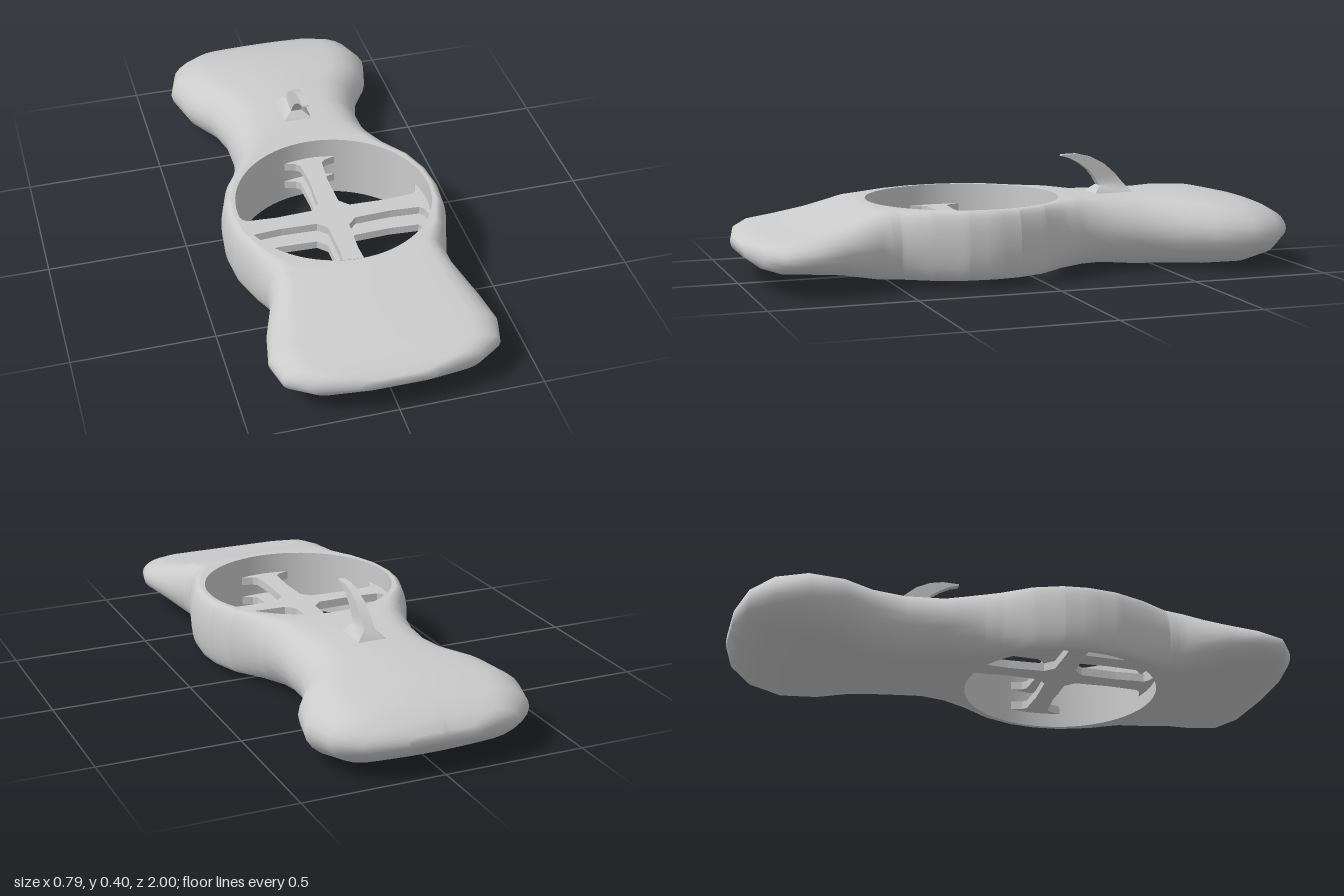
import * as THREE from 'three';
import { mergeVertices, toCreasedNormals } from 'three/addons/utils/BufferGeometryUtils.js';

const HOLE_Z = 0.19, HOLE_R = 0.345;

// Body stations: z, half width, top, bottom, edge rounding, crown
const STATIONS = [
  [-1, 0.13, 0.15, 0.11, 0.04, 0],
  [-0.965, 0.28, 0.185, 0.075, 0.1, 0.01],
  [-0.89, 0.36, 0.225, 0.03, 0.13, 0.02],
  [-0.78, 0.393, 0.25, 0.003, 0.14, 0.03],
  [-0.65, 0.36, 0.258, 0, 0.13, 0.03],
  [-0.54, 0.29, 0.26, 0, 0.12, 0.03],
  [-0.42, 0.257, 0.26, 0.003, 0.11, 0.025],
  [-0.28, 0.257, 0.258, 0.022, 0.1, 0.01],
  [-0.19, 0.27, 0.265, 0.027, 0.09, 0],
  [-0.1, 0.305, 0.265, 0.027, 0.07, 0],
  [0, 0.355, 0.265, 0.027, 0.04, 0],
  [0.1, 0.387, 0.265, 0.027, 0.035, 0],
  [0.19, 0.397, 0.265, 0.027, 0.035, 0],
  [0.29, 0.387, 0.265, 0.027, 0.035, 0],
  [0.4, 0.352, 0.265, 0.027, 0.04, 0],
  [0.5, 0.32, 0.265, 0.027, 0.07, 0],
  [0.57, 0.325, 0.262, 0.028, 0.08, 0.005],
  [0.7, 0.37, 0.225, 0.052, 0.1, 0.01],
  [0.82, 0.393, 0.195, 0.07, 0.1, 0.005],
  [0.91, 0.37, 0.182, 0.076, 0.1, 0],
  [0.965, 0.29, 0.168, 0.088, 0.08, 0],
  [1, 0.13, 0.15, 0.11, 0.04, 0],
];

function stationAt(z) {
  let i = 0;
  while (i < STATIONS.length - 2 && STATIONS[i + 1][0] < z) i++;
  const a = STATIONS[i], b = STATIONS[i + 1];
  const t = (z - a[0]) / (b[0] - a[0]);
  return a.map((v, k) => THREE.MathUtils.lerp(v, b[k], t));
}

// Half of a cross-section, from the inner top edge round the side to the inner bottom edge
function halfSection(z, flat) {
  const [, w, top, bottom, c, crown] = stationAt(z);
  const inner = Math.sqrt(Math.max(0, HOLE_R ** 2 - (z - HOLE_Z) ** 2));
  const round = Math.min(c, (w - inner) * 0.7);
  const mid = (top + bottom) / 2, half = (top - bottom) / 2, points = [];
  const add = (x, s) => {
    const y = mid + s * (half - crown * (x / w) ** 2);
    points.push([x, flat ? mid : y, z]);
  };
  for (let i = 0; i < 5; i++) add(inner + (w - round - inner) * i / 5, 1);
  for (let i = 0; i <= 10; i++) {
    const a = Math.PI / 2 - Math.PI * i / 10;
    add(w - round + round * Math.cos(a), Math.sin(a));
  }
  for (let i = 4; i >= 0; i--) add(inner + (w - round - inner) * i / 5, -1);
  return points;
}

// Both mirrored halves of the board, open only around the hole
function bodyGeometry() {
  const zs = STATIONS.map((s) => s[0]);
  for (let i = 0; i <= 36; i++) zs.push(HOLE_Z - HOLE_R * Math.cos(Math.PI * i / 36));
  zs.sort((a, b) => a - b);
  const rows = zs.filter((z, i) => i === 0 || z - zs[i - 1] > 1e-5).map((z) => halfSection(z, false));
  rows.unshift(halfSection(-1, true));
  rows.push(halfSection(1, true));
  const n = rows[0].length, pos = [], index = [];
  for (const side of [1, -1]) {
    const base = pos.length / 3;
    for (const row of rows) for (const [x, y, z] of row) pos.push(x * side, y, z);
    for (let i = 0; i < rows.length - 1; i++) {
      for (let j = 0; j < n - 1; j++) {
        const a = base + i * n + j, b = a + 1, c = a + n, d = c + 1;
        if (side > 0) index.push(a, c, b, b, c, d);
        else index.push(a, b, c, b, d, c);
      }
    }
  }
  const g = new THREE.BufferGeometry();
  g.setAttribute('position', new THREE.Float32BufferAttribute(pos, 3));
  g.setIndex(index);
  const merged = mergeVertices(g, 1e-5);
  merged.computeVertexNormals();
  return merged;
}

// Four-armed brace whose arms flare where they meet the wall
function crossGeometry(thickness) {
  const arm = [[0.07, -0.038], [0.2, -0.033], [0.305, -0.04], [0.32, -0.055], [0.333, -0.1], [0.355, 0],
    [0.333, 0.1], [0.32, 0.055], [0.305, 0.04], [0.2, 0.033], [0.07, 0.038]];
  const outline = [];
  for (let k = 0; k < 4; k++) {
    for (const [x, y] of arm) {
      outline.push(new THREE.Vector2(x, y).rotateAround(new THREE.Vector2(), k * Math.PI / 2));
    }
  }
  const g = new THREE.ExtrudeGeometry(new THREE.Shape(outline), { depth: thickness, bevelEnabled: false });
  return g.rotateX(-Math.PI / 2);
}

// Curved hook lofted from rectangular sections: back z, y, front z, y, half width
function finGeometry() {
  const sections = [
    [-0.46, 0.235, -0.29, 0.235, 0.058],
    [-0.45, 0.262, -0.31, 0.262, 0.05],
    [-0.425, 0.292, -0.333, 0.285, 0.02],
    [-0.395, 0.327, -0.318, 0.312, 0.018],
    [-0.35, 0.366, -0.293, 0.342, 0.016],
    [-0.3, 0.391, -0.258, 0.368, 0.014],
    [-0.25, 0.402, -0.222, 0.387, 0.013],
    [-0.192, 0.401, -0.19, 0.396, 0.012],
  ];
  const pos = [], index = [];
  for (const [zb, yb, zf, yf, w] of sections) {
    pos.push(-w, yb, zb, -w, yf, zf, w, yf, zf, w, yb, zb);
  }
  for (let i = 0; i < sections.length - 1; i++) {
    for (let j = 0; j < 4; j++) {
      const a = i * 4 + j, b = i * 4 + (j + 1) % 4;
      index.push(a, b, a + 4, b, b + 4, a + 4);
    }
  }
  const e = (sections.length - 1) * 4;
  index.push(e, e + 1, e + 2, e, e + 2, e + 3);
  const g = new THREE.BufferGeometry();
  g.setAttribute('position', new THREE.Float32BufferAttribute(pos, 3));
  g.setIndex(index);
  return toCreasedNormals(g, 0.8);
}

export function createModel() {
  const group = new THREE.Group();
  const material = new THREE.MeshStandardMaterial({ color: 0xcccccc });
  const sheet = new THREE.MeshStandardMaterial({ color: 0xcccccc, side: THREE.DoubleSide });
  const add = (name, geometry, mat = material) => {
    const mesh = new THREE.Mesh(geometry, mat);
    mesh.name = name;
    group.add(mesh);
    return mesh;
  };

  add('body', bodyGeometry(), sheet);

  // Wall of the round opening
  const wall = add('holeWall', new THREE.CylinderGeometry(HOLE_R, HOLE_R, 0.238, 72, 1, true), sheet);
  wall.position.set(0, 0.146, HOLE_Z);

  // Two stacked braces with a gap between them
  add('upperBrace', crossGeometry(0.03)).position.set(0, 0.16, HOLE_Z);
  add('lowerBrace', crossGeometry(0.03)).position.set(0, 0.08, HOLE_Z);

  add('fin', finGeometry());
  return group;
}
